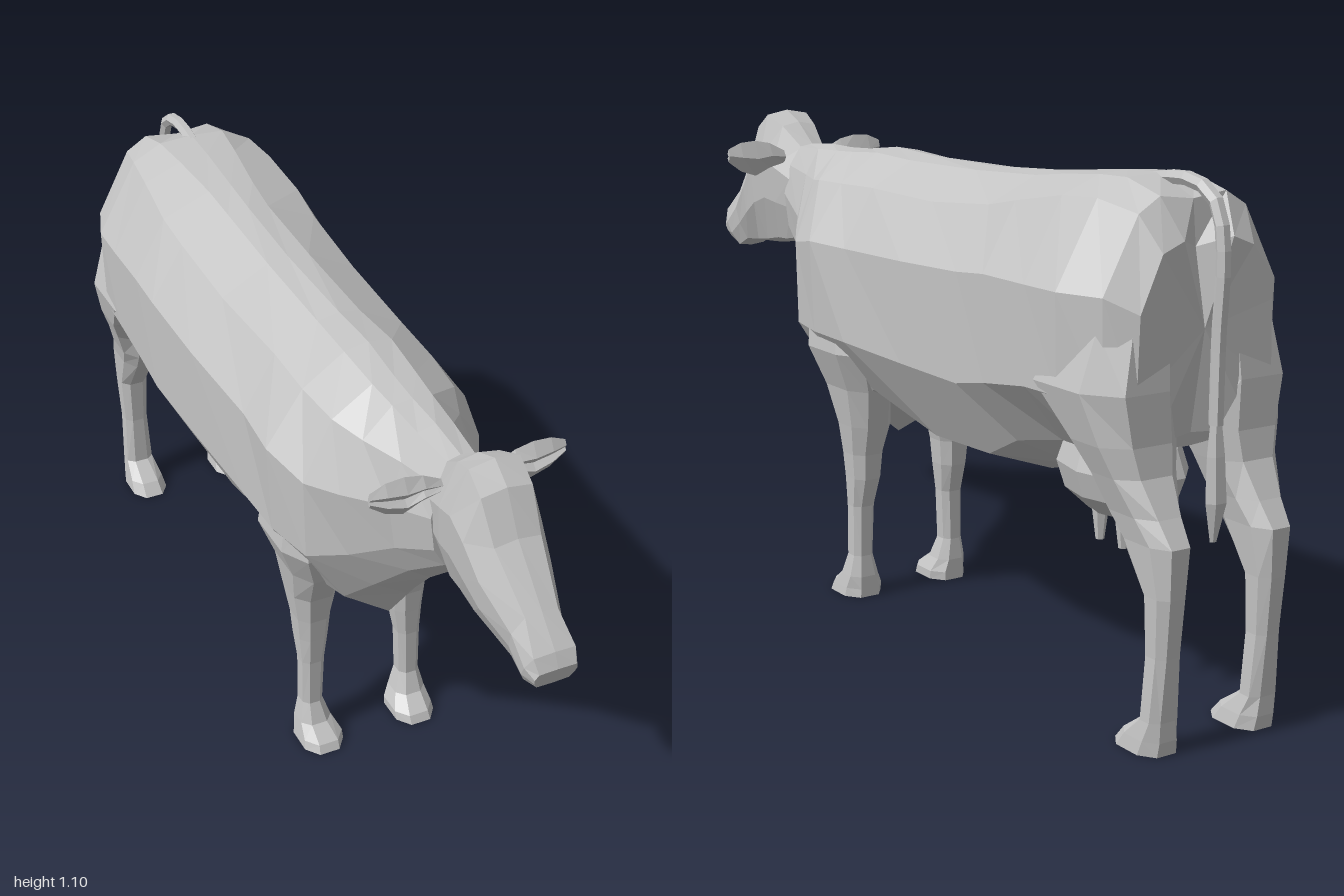
import * as THREE from 'three';

const hide = new THREE.MeshStandardMaterial({ color: 0xc4c4c4, flatShading: true });
hide.name = 'plain grey hide';

// Skin a list of equal-length rings of [x, y, z], closing both ends
function loft(rings) {
  const n = rings[0].length, tris = [];
  const centre = r => [0, 1, 2].map(k => r.reduce((s, p) => s + p[k], 0) / n);
  const first = rings[0], last = rings[rings.length - 1];
  const c0 = centre(first), c1 = centre(last);
  for (let j = 0; j < n; j++) {
    const k = (j + 1) % n;
    for (let i = 0; i < rings.length - 1; i++) {
      const a = rings[i], b = rings[i + 1];
      tris.push([a[j], a[k], b[k]], [a[j], b[k], b[j]]);
    }
    tris.push([c0, first[k], first[j]], [c1, last[j], last[k]]);
  }
  // The sign of the enclosed volume tells whether faces point outward
  let volume = 0;
  const o = c0, u = new THREE.Vector3(), v = new THREE.Vector3(), w = new THREE.Vector3();
  for (const t of tris) {
    [u, v, w].forEach((q, i) => q.set(t[i][0] - o[0], t[i][1] - o[1], t[i][2] - o[2]));
    volume += u.dot(v.cross(w));
  }
  const out = tris.flatMap(t => (volume < 0 ? [t[0], t[2], t[1]] : t)).flat();
  const g = new THREE.BufferGeometry();
  g.setAttribute('position', new THREE.Float32BufferAttribute(out, 3));
  g.computeVertexNormals();
  return g;
}

// Close a half outline running from top centre to bottom centre
const mirrorRing = half =>
  [...half, ...half.slice(1, -1).reverse().map(([x, y, z]) => [-x, y, z])];

// Body stations: z, top y, five side points (x, y), bottom y
const foreBody = [
  [0.62, 1.02, 0.03, 1.015, 0.055, 0.97, 0.07, 0.9, 0.06, 0.82, 0.035, 0.775, 0.755],
  [0.5, 1.03, 0.04, 1.02, 0.075, 0.96, 0.1, 0.86, 0.085, 0.75, 0.05, 0.68, 0.645],
  [0.4, 1.03, 0.045, 1.025, 0.11, 0.96, 0.16, 0.84, 0.14, 0.68, 0.08, 0.58, 0.53],
  [0.32, 1.035, 0.05, 1.03, 0.14, 0.97, 0.205, 0.83, 0.2, 0.64, 0.11, 0.5, 0.42],
  [0.2, 1.05, 0.055, 1.04, 0.15, 0.975, 0.235, 0.85, 0.225, 0.64, 0.13, 0.48, 0.375],
  [0.06, 1.045, 0.05, 1.035, 0.15, 0.98, 0.225, 0.85, 0.23, 0.64, 0.15, 0.52, 0.45],
];
const hindBody = [
  [-0.2, 1.045, 0.05, 1.04, 0.16, 0.98, 0.24, 0.86, 0.24, 0.64, 0.15, 0.47, 0.42],
  [-0.42, 1.06, 0.05, 1.052, 0.165, 1.0, 0.245, 0.87, 0.245, 0.64, 0.16, 0.48, 0.425],
  [-0.52, 1.07, 0.055, 1.065, 0.17, 1.02, 0.247, 0.88, 0.245, 0.66, 0.16, 0.53, 0.455],
  [-0.66, 1.085, 0.07, 1.08, 0.16, 1.045, 0.247, 0.88, 0.245, 0.68, 0.15, 0.56, 0.55],
  [-0.76, 1.09, 0.08, 1.085, 0.15, 1.05, 0.245, 0.88, 0.24, 0.68, 0.15, 0.56, 0.55],
  [-0.86, 1.05, 0.08, 1.06, 0.13, 1.03, 0.21, 0.88, 0.205, 0.68, 0.13, 0.58, 0.57],
  [-0.91, 0.96, 0.06, 0.98, 0.11, 0.96, 0.16, 0.85, 0.165, 0.68, 0.12, 0.6, 0.6],
];
function bodyRing([z, top, ...s]) {
  const half = [[0, top, z === -0.91 ? z + 0.04 : z]];
  for (let i = 0; i < 10; i += 2) half.push([s[i], s[i + 1], z]);
  half.push([0, s[10], z === -0.91 ? z + 0.04 : z]);
  return mirrorRing(half);
}

// Head stations: top z, y; bottom z, y; half widths of top, middle and jaw
const headStations = [
  [0.6, 1.02, 0.61, 0.78, 0.03, 0.065, 0.035],
  [0.67, 1.07, 0.66, 0.768, 0.045, 0.08, 0.045],
  [0.73, 1.095, 0.7, 0.765, 0.055, 0.085, 0.045],
  [0.78, 1.06, 0.76, 0.755, 0.055, 0.085, 0.045],
  [0.83, 0.975, 0.82, 0.75, 0.05, 0.078, 0.04],
  [0.93, 0.875, 0.89, 0.745, 0.035, 0.055, 0.035],
  [0.985, 0.82, 0.935, 0.725, 0.045, 0.054, 0.035],
  [1.0, 0.79, 0.985, 0.745, 0.04, 0.046, 0.035],
];
function headRing([zt, yt, zb, yb, top, mid, jaw]) {
  const at = (x, t) => [x, yt + (yb - yt) * t, zt + (zb - zt) * t];
  return mirrorRing([at(0, 0), at(top, 0.03), at(mid, 0.35), at(mid * 0.93, 0.65), at(jaw, 0.96), at(0, 1)]);
}

// Leg stations: y, front z, back z, inner x, outer x
const frontLeg = [
  [0.72, 0.3, 0.08, 0.08, 0.21], [0.6, 0.3, 0.05, 0.08, 0.22],
  [0.51, 0.265, 0.075, 0.07, 0.185], [0.42, 0.22, 0.1, 0.065, 0.17],
  [0.35, 0.21, 0.12, 0.08, 0.16], [0.29, 0.205, 0.125, 0.085, 0.155],
  [0.22, 0.2, 0.145, 0.095, 0.15], [0.1, 0.2, 0.145, 0.1, 0.15],
  [0.05, 0.22, 0.14, 0.085, 0.16], [0.02, 0.26, 0.14, 0.07, 0.165],
  [0, 0.27, 0.14, 0.07, 0.168],
];
const hindLeg = [
  [0.82, -0.68, -0.9, 0.04, 0.21], [0.7, -0.62, -0.912, 0.035, 0.246],
  [0.6, -0.74, -0.915, 0.035, 0.222], [0.54, -0.785, -0.925, 0.05, 0.2],
  [0.47, -0.81, -0.965, 0.07, 0.178], [0.42, -0.845, -1.0, 0.08, 0.168],
  [0.32, -0.92, -0.995, 0.09, 0.16], [0.2, -0.925, -0.985, 0.095, 0.155],
  [0.07, -0.92, -0.975, 0.09, 0.16], [0.03, -0.865, -0.975, 0.08, 0.165],
  [0, -0.84, -0.97, 0.075, 0.168],
];
// Rectangle with cut corners
function legRing([y, zf, zb, xi, xo], side) {
  const cx = (xo - xi) * 0.25, cz = (zf - zb) * 0.25;
  return [[xi + cx, zf], [xo - cx, zf], [xo, zf - cz], [xo, zb + cz],
    [xo - cx, zb], [xi + cx, zb], [xi, zb + cz], [xi, zf - cz]].map(([x, z]) => [side * x, y, z]);
}

// Ear stations: x, middle y, half height, half thickness
const ear = [
  [0.06, 0.99, 0.015, 0.01], [0.1, 0.995, 0.03, 0.016], [0.14, 0.99, 0.043, 0.018],
  [0.18, 0.995, 0.035, 0.014], [0.213, 1.0, 0.016, 0.006],
];
const earRing = ([x, y, h, t], side) =>
  [[0, 1], [1, 0.3], [0.3, -0.1], [1, -0.4], [0, -1], [-1, 0]]
    .map(([a, b]) => [side * x, y + b * h, 0.637 + a * t]);

// Tuft stations: y, z, radius
const tuft = [[0.66, -0.943, 0.011], [0.57, -0.946, 0.022], [0.48, -0.95, 0.026], [0.4, -0.945, 0.008]];
const tuftRing = ([y, z, r]) => Array.from({ length: 6 }, (_, i) =>
  [r * Math.cos(i * Math.PI / 3), y, z + 0.7 * r * Math.sin(i * Math.PI / 3)]);

export function createModel() {
  const model = new THREE.Group();
  model.name = 'cow';
  const add = (name, geometry) => {
    const mesh = new THREE.Mesh(geometry, hide);
    mesh.name = name;
    model.add(mesh);
    return mesh;
  };

  add('body', loft([...foreBody, ...hindBody].map(bodyRing)));
  add('head', loft(headStations.map(headRing)));

  // Paired parts
  for (const [side, label] of [[1, 'left'], [-1, 'right']]) {
    add(label + 'FrontLeg', loft(frontLeg.map(s => legRing(s, side))));
    add(label + 'HindLeg', loft(hindLeg.map(s => legRing(s, side))));
    add(label + 'Ear', loft(ear.map(s => earRing(s, side))));
    for (const z of [-0.65, -0.725]) {
      add(label + 'Teat', new THREE.CylinderGeometry(0.018, 0.009, 0.07, 6))
        .position.set(side * 0.045, 0.372, z);
    }
  }

  // Udder
  const udder = add('udder', new THREE.SphereGeometry(1, 10, 6));
  udder.scale.set(0.115, 0.11, 0.165);
  udder.position.set(0, 0.49, -0.66);

  // Tail arching over the rump, ending in a tuft
  const path = new THREE.CatmullRomCurve3([
    [1.065, -0.7], [1.085, -0.8], [1.08, -0.88], [1.045, -0.93], [0.96, -0.95], [0.8, -0.944], [0.63, -0.943],
  ].map(([y, z]) => new THREE.Vector3(0, y, z)));
  add('tail', new THREE.TubeGeometry(path, 14, 0.015, 6));
  add('tailTuft', loft(tuft.map(tuftRing)));
  return model;
}
